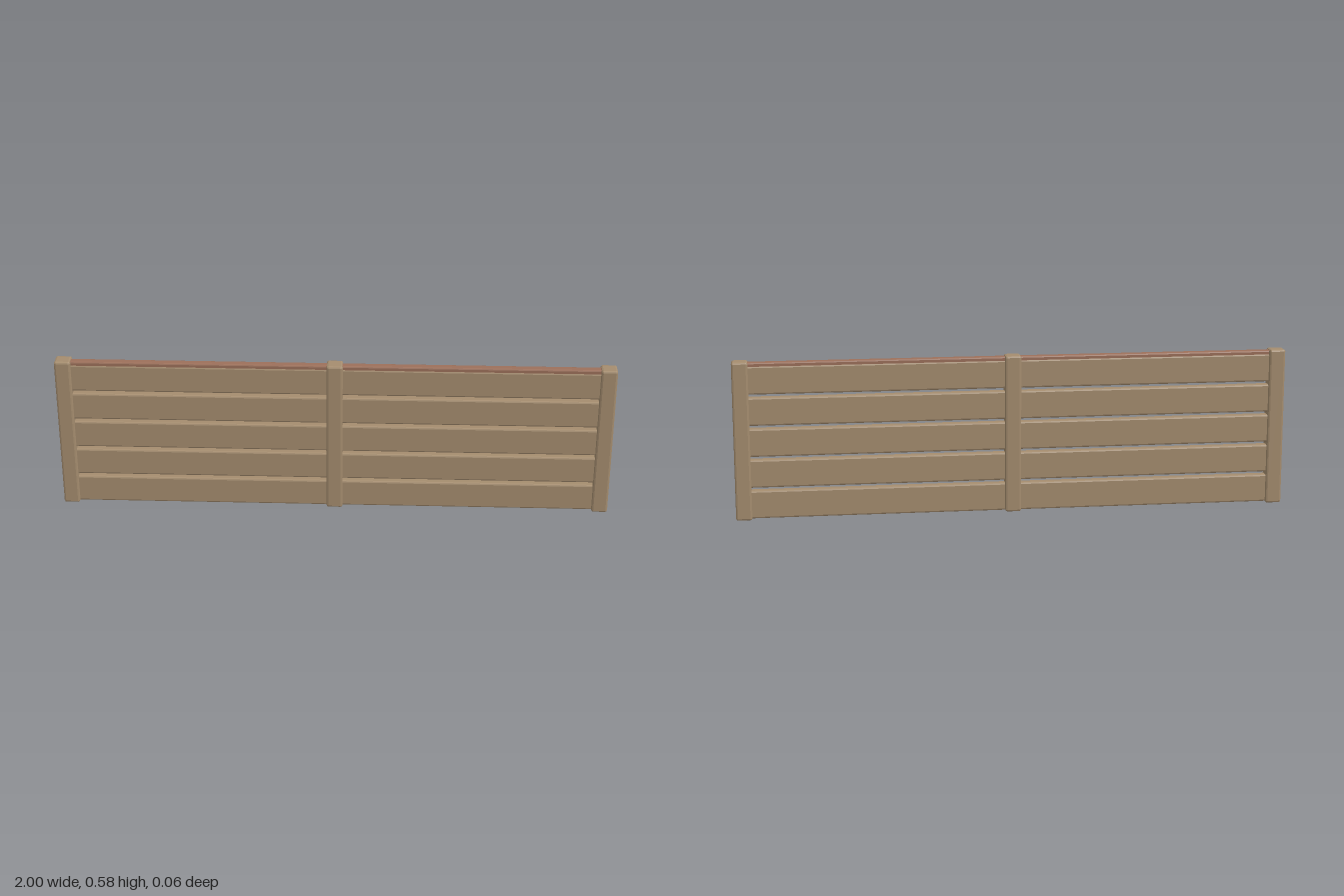
import * as THREE from 'three';
import { RoundedBoxGeometry } from 'three/addons/geometries/RoundedBoxGeometry.js';

export function createModel() {
  const model = new THREE.Group();
  model.name = 'plankFence';
  const wood = new THREE.MeshStandardMaterial({ color: 0xa58d6f, flatShading: true });
  const redWood = new THREE.MeshStandardMaterial({ color: 0x9c705a, flatShading: true });

  // Box with chamfered edges, placed by its centre
  function beam(name, size, position, chamfer, material) {
    const mesh = new THREE.Mesh(new RoundedBoxGeometry(...size, 1, chamfer), material);
    mesh.name = name;
    mesh.position.set(...position);
    model.add(mesh);
  }

  // Three square posts
  const postHeight = 0.576, postWidth = 0.058;
  ['rightPost', 'middlePost', 'leftPost'].forEach((name, i) => {
    const x = (i - 1) * (1 - postWidth / 2);
    beam(name, [postWidth, postHeight, postWidth], [x, postHeight / 2, 0], 0.007, wood);
  });

  // Two bays of five planks, each with a thin rail on top
  const bayLength = 0.93, plankHeight = 0.102, pitch = 0.1133;
  for (const [side, sign] of [['right', -1], ['left', 1]]) {
    const x = sign * 0.485;
    for (let i = 0; i < 5; i++) {
      const y = 0.004 + plankHeight / 2 + i * pitch;
      beam(`${side}Plank${i + 1}`, [bayLength, plankHeight, 0.034], [x, y, 0], 0.006, wood);
    }
    beam(`${side}TopRail`, [bayLength, 0.02, 0.03], [x, 0.562, 0], 0.005, redWood);
  }
  return model;
}
